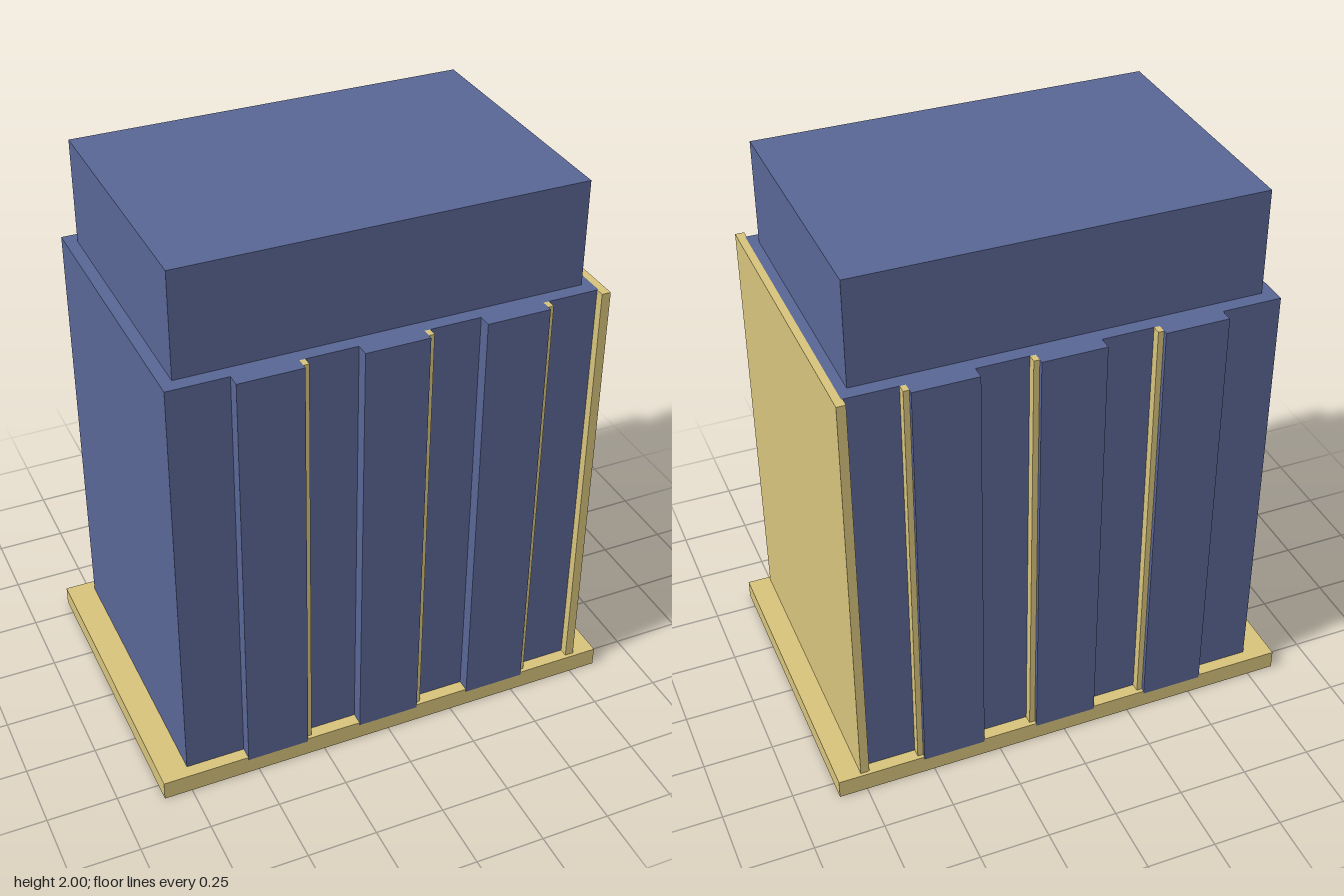
import * as THREE from 'three';

export function createModel() {
  const model = new THREE.Group();
  const blue = new THREE.MeshStandardMaterial({ color: 0x5a6796 });
  blue.name = 'slate blue';
  const tan = new THREE.MeshStandardMaterial({ color: 0xd8c47c });
  tan.name = 'sand';

  // Box given by its lower and upper corners
  function box(name, material, [x0, y0, z0], [x1, y1, z1]) {
    const geometry = new THREE.BoxGeometry(x1 - x0, y1 - y0, z1 - z0);
    const mesh = new THREE.Mesh(geometry, material);
    mesh.position.set((x0 + x1) / 2, (y0 + y1) / 2, (z0 + z1) / 2);
    mesh.name = name;
    model.add(mesh);
  }

  const roof = 1.623;
  box('basePlinth', tan, [-0.85, 0, -0.567], [0.85, 0.07, 0.567]);
  box('towerBody', blue, [-0.75, 0.07, -0.522], [0.74, roof, 0.522]);
  box('upperStorey', blue, [-0.708, roof, -0.472], [0.706, 2, 0.472]);

  // Wall slab covering the +x side
  box('sideWall', tan, [0.74, 0.07, -0.555], [0.767, roof, 0.553]);

  // Projecting bays with a thin fin beside each, on front and back
  for (const side of [1, -1]) {
    const span = (near, far) => (side > 0 ? [near, far] : [-far, -near]);
    const [bay0, bay1] = span(0.522, 0.569);
    const [fin0, fin1] = span(0.522, 0.553);
    for (const x of [-0.539, -0.114, 0.311]) {
      box('facadeBay', blue, [x, 0.06, bay0], [x + 0.225, roof, bay1]);
      box('facadeFin', tan, [x + 0.225, 0.07, fin0], [x + 0.245, roof, fin1]);
    }
    // Front and back edge of the side wall, wrapping the corner
    box('wallEdge', tan, [0.735, 0.07, fin0], [0.74, roof, fin1]);
  }

  return model;
}
